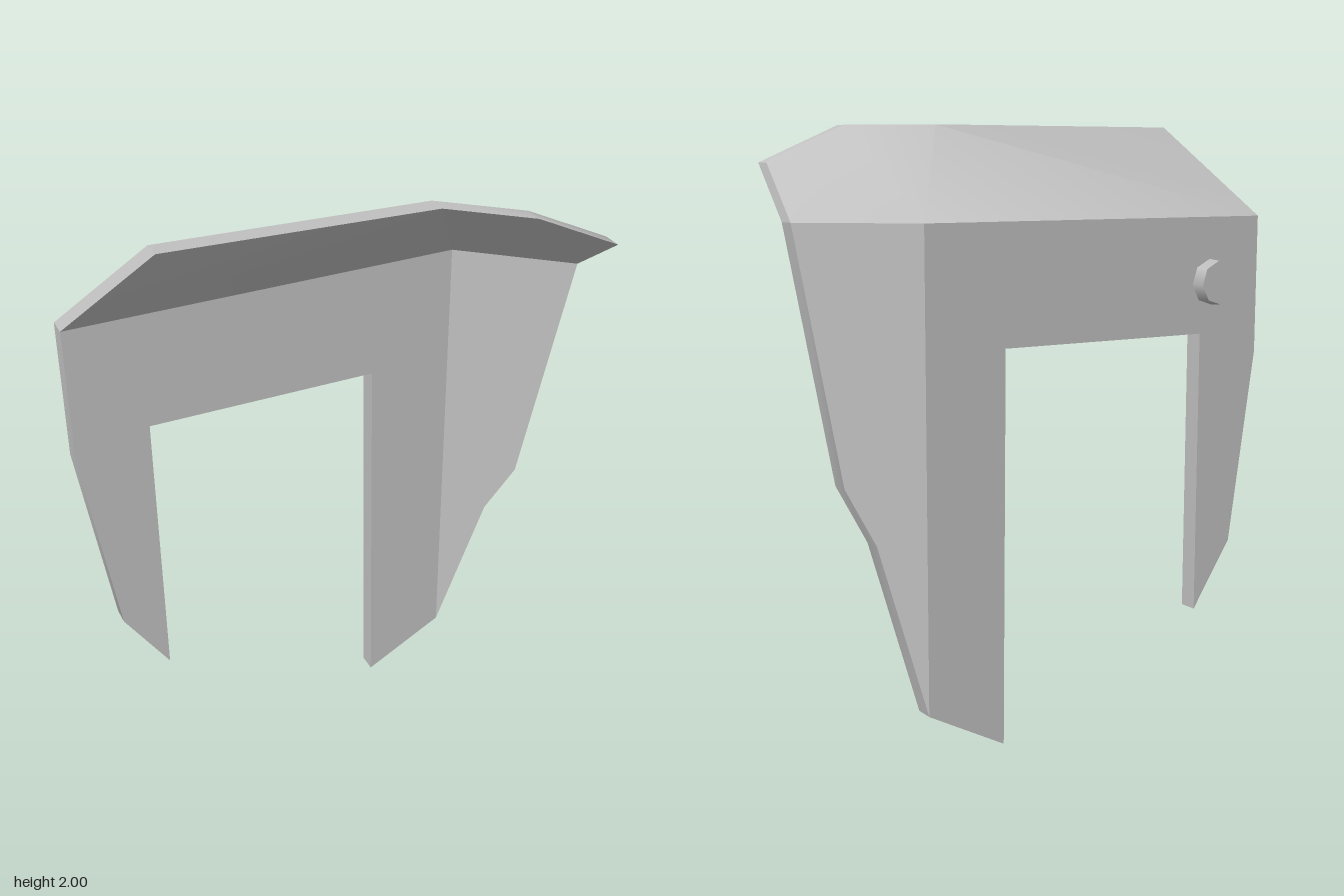
import * as THREE from 'three';
import { toCreasedNormals } from 'three/addons/utils/BufferGeometryUtils.js';

export function createModel() {
  const group = new THREE.Group();
  const grey = new THREE.MeshStandardMaterial({ color: 0xc0c0c0 });
  grey.name = 'plain grey';

  // Sheet thickness: every front point is shifted by this to get the back skin
  const T = new THREE.Vector3(-0.042, 0, -0.05);
  const V = (x, y, z) => new THREE.Vector3(x, y, z);
  // Point on the front of the diagonal plate
  const D = (x, y) => V(x, y, 0.44 - 0.8416 * (x + 0.76));
  // Point on the front of the straight wing
  const W = (x, y) => V(x, y, -0.41);

  // Corners run anticlockwise seen from the front
  const parts = {
    archPlate: [[
      D(-0.76, 1.7), D(-0.76, 1.23), D(-0.685, 0.56), D(-0.57, 0.33), D(-0.57, 1.305),
      D(0.03, 1.305), D(0.037, 0), D(0.25, 0.15), D(0.25, 1.7),
    ]],
    sideWing: [[
      W(0.25, 1.7), W(0.25, 0.15), W(0.41, 0.7), W(0.51, 0.88), W(0.66, 1.7),
    ]],
    slopedCanopy: [
      [D(-0.76, 1.7), D(0.25, 1.7), V(0.28, 2, -0.05), V(-0.43, 2, 0.46)],
      [W(0.25, 1.7), W(0.66, 1.7), V(0.795, 1.88, -0.194), V(0.57, 2, -0.05), V(0.28, 2, -0.05)],
    ],
  };

  // Edges shared by two panels get no wall
  const key = (a, b) => [a, b].map(p => `${p.x.toFixed(2)},${p.y.toFixed(2)}`).sort().join('|');
  const uses = {};
  const eachEdge = (panel, fn) => panel.forEach((a, i) => fn(a, panel[(i + 1) % panel.length]));
  Object.values(parts).flat().forEach(panel =>
    eachEdge(panel, (a, b) => { uses[key(a, b)] = (uses[key(a, b)] || 0) + 1; }));

  for (const [name, panels] of Object.entries(parts)) {
    const out = [];
    const tri = (...pts) => pts.forEach(p => out.push(p.x, p.y, p.z));
    const back = p => p.clone().add(T);
    for (const panel of panels) {
      const faces = THREE.ShapeUtils.triangulateShape(panel.map(p => new THREE.Vector2(p.x, p.y)), []);
      for (const [i, j, k] of faces) {
        tri(panel[i], panel[j], panel[k]);
        tri(back(panel[k]), back(panel[j]), back(panel[i]));
      }
      eachEdge(panel, (a, b) => {
        if (uses[key(a, b)] > 1) return;
        tri(a, back(a), back(b));
        tri(a, back(b), b);
      });
    }
    const geo = new THREE.BufferGeometry();
    geo.setAttribute('position', new THREE.Float32BufferAttribute(out, 3));
    const mesh = new THREE.Mesh(toCreasedNormals(geo, Math.PI / 6), grey);
    mesh.name = name;
    group.add(mesh);
  }

  // Eight-sided stud on the back of the diagonal plate
  const outward = V(-0.644, 0, -0.765).normalize();
  const stud = new THREE.Mesh(new THREE.CylinderGeometry(0.075, 0.08, 0.07, 8), grey);
  stud.name = 'backStud';
  stud.quaternion.setFromUnitVectors(V(0, 1, 0), outward);
  stud.position.set(-0.645, 1.48, 0.258).addScaledVector(outward, 0.015);
  group.add(stud);

  return group;
}
